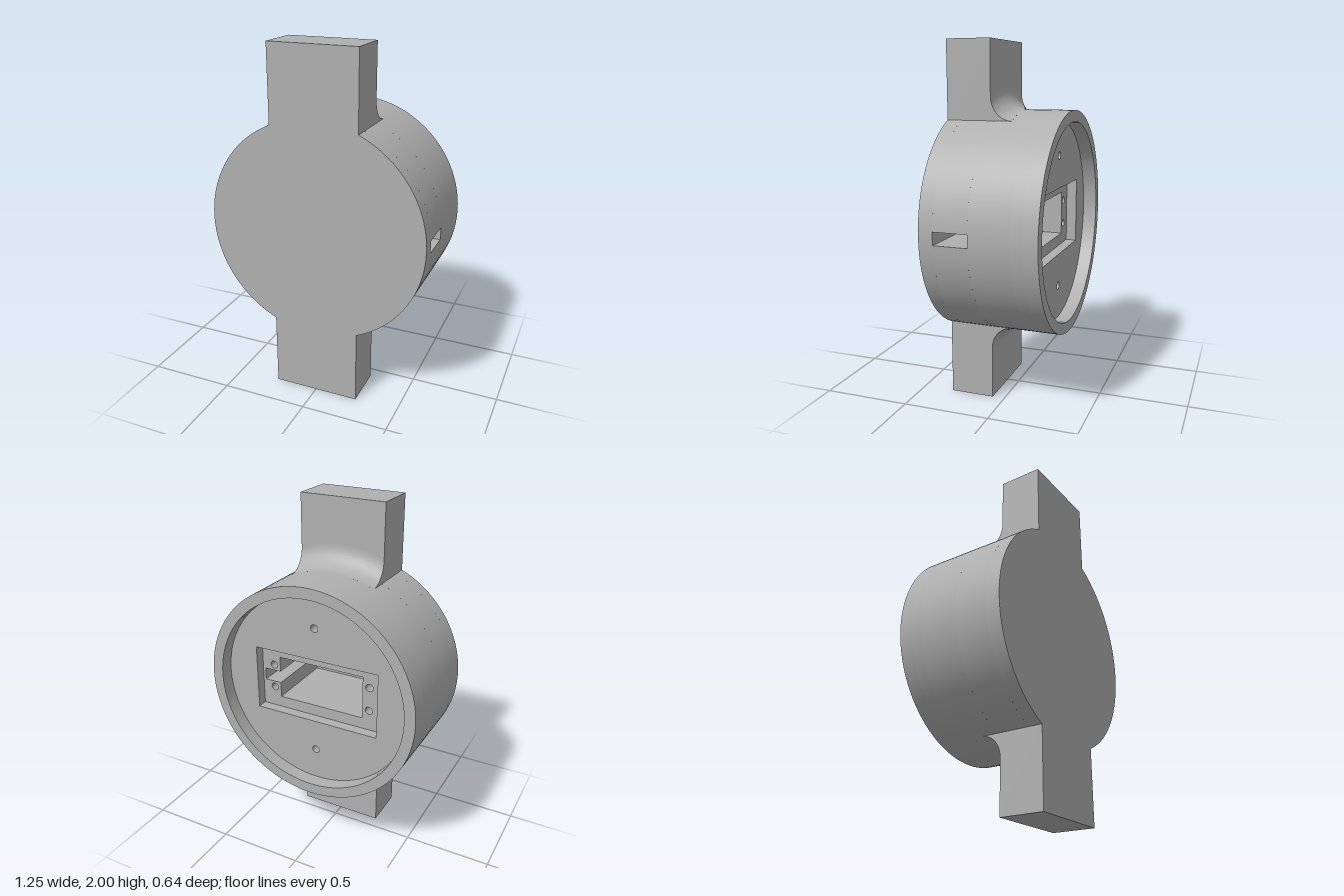
import * as THREE from 'three';
import { toCreasedNormals } from 'three/addons/utils/BufferGeometryUtils.js';

const R = 0.625; // body radius
const HALF = 0.25; // half width of the mounting tabs
const SLOT = 0.035; // half height of the cable slot
const FILLET = 0.12;

const polygon = (pts) => new THREE.Shape(pts.map(([x, y]) => new THREE.Vector2(x, y)));
const rect = (w, h) => polygon([[-w, -h], [w, -h], [w, h], [-w, h]]);
const circle = (x, y, r) => {
  const s = new THREE.Shape();
  s.absarc(x, y, r, 0, Math.PI * 2, false);
  return s;
};

export function createModel() {
  const model = new THREE.Group();
  model.name = 'roundHousing';
  const grey = new THREE.MeshStandardMaterial({ color: 0xb0b0b0 });
  grey.name = 'grey';

  const add = (name, geometry, parent) => {
    const mesh = new THREE.Mesh(toCreasedNormals(geometry, 0.5), grey);
    mesh.name = name;
    parent.add(mesh);
  };
  // Slab of a shape with holes between two depths
  const slab = (name, shape, holes, z0, z1, parent) => {
    shape.holes.push(...holes);
    const g = new THREE.ExtrudeGeometry(shape, { depth: z1 - z0, bevelEnabled: false, curveSegments: 48 });
    add(name, g.translate(0, 0, z0), parent);
  };

  const body = new THREE.Group();
  body.name = 'body';
  body.position.y = 1;
  model.add(body);

  const plateScrews = [1, -1].map((s) => circle(0, s * 0.375, 0.022));
  const pocketScrews = [];
  for (const x of [-0.3, 0.3]) for (const y of [-0.07, 0.07]) pocketScrews.push(circle(x, y, 0.022));

  // Deep opening with a cable channel on one side
  const opening = polygon([
    [-0.26, -0.125], [0.26, -0.125], [0.26, -SLOT], [0.36, -SLOT],
    [0.36, SLOT], [0.26, SLOT], [0.26, 0.125], [-0.26, 0.125],
  ]);

  // Slice where the cable slot breaks through the side wall
  const slotted = new THREE.Shape();
  const a = Math.asin(SLOT / R);
  slotted.absarc(0, 0, R, a, Math.PI * 2 - a, false);
  for (const [x, y] of [[0.26, -SLOT], [0.26, -0.125], [-0.26, -0.125], [-0.26, 0.125], [0.26, 0.125], [0.26, SLOT]])
    slotted.lineTo(x, y);
  slotted.closePath();

  slab('backRim', circle(0, 0, R), [circle(0, 0, 0.5625)], -0.32, -0.24, body);
  slab('recessedPlate', circle(0, 0, R), [rect(0.375, 0.19), ...plateScrews], -0.24, -0.18, body);
  slab('pocketWall', circle(0, 0, R), [opening, ...plateScrews, ...pocketScrews], -0.18, 0.05, body);
  slab('slottedWall', slotted, [], 0.05, 0.24, body);
  slab('frontPlate', circle(0, 0, R), [], 0.24, 0.32, body);

  // Mounting tabs above and below, each blended into the body
  for (const [name, turn] of [['topTab', 0], ['bottomTab', Math.PI]]) {
    const tab = new THREE.Group();
    tab.name = name;
    tab.rotation.z = turn;
    body.add(tab);

    const b = Math.acos(HALF / 0.623);
    const outline = new THREE.Shape();
    outline.absarc(0, 0, 0.623, b, Math.PI - b, false);
    outline.lineTo(-HALF, 1);
    outline.lineTo(HALF, 1);
    outline.closePath();
    slab(name + 'Block', outline, [], 0.07, 0.32, tab);

    // Concave fillet: profile drawn in depth and radius, bent round the body
    const profile = new THREE.Shape();
    profile.moveTo(0.07, 0.6);
    profile.lineTo(0.07, R + FILLET);
    profile.absarc(0.07 - FILLET, R + FILLET, FILLET, 0, -Math.PI / 2, true);
    profile.lineTo(0.07 - FILLET, 0.6);
    profile.closePath();
    const g = new THREE.ExtrudeGeometry(profile, { depth: 2 * HALF, steps: 20, bevelEnabled: false, curveSegments: 10 });
    g.rotateY(-Math.PI / 2).translate(HALF, 0, 0);
    const p = g.attributes.position;
    for (let i = 0; i < p.count; i++) p.setY(i, Math.sqrt(p.getY(i) ** 2 - p.getX(i) ** 2));
    add(name + 'Fillet', g, tab);
  }
  return model;
}
